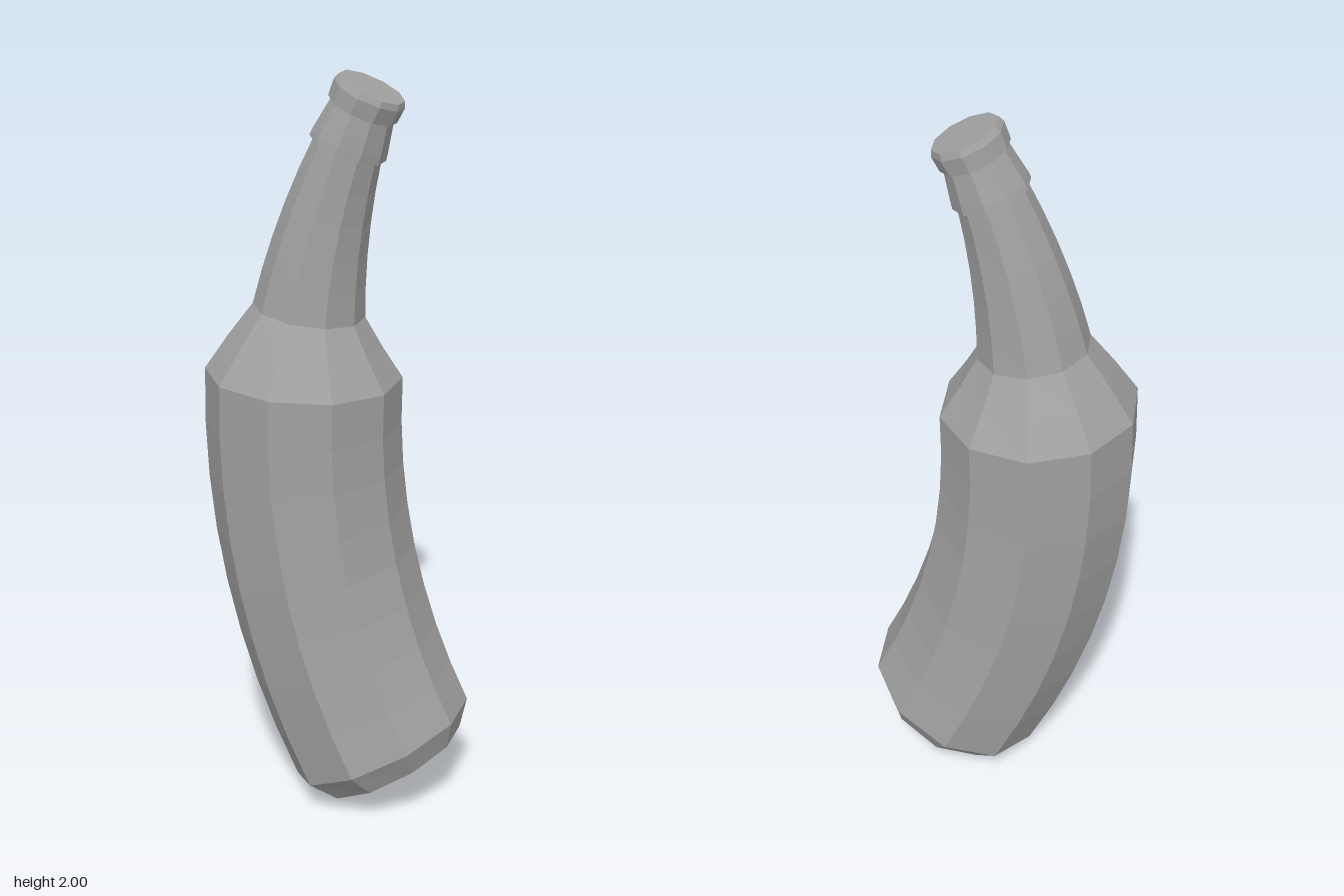
import * as THREE from 'three';

const SIDES = 10;
const BEND_RADIUS = 2.05;
const BEND_ANGLE = THREE.MathUtils.degToRad(19); // heading of the bend, from +x towards +z
const ORIGIN = new THREE.Vector3(-0.098, 1.105, -0.04); // middle of the bent axis

// Wraps a straight upright geometry around a circular arc
function bend(geometry) {
  const c = Math.cos(BEND_ANGLE), s = Math.sin(BEND_ANGLE);
  const p = geometry.attributes.position;
  for (let i = 0; i < p.count; i++) {
    const x = p.getX(i), z = p.getZ(i);
    const across = x * c + z * s, side = z * c - x * s;
    const theta = p.getY(i) / BEND_RADIUS, r = BEND_RADIUS - across;
    const u = BEND_RADIUS - r * Math.cos(theta);
    p.setXYZ(i,
      ORIGIN.x + u * c - side * s,
      ORIGIN.y + r * Math.sin(theta),
      ORIGIN.z + u * s + side * c);
  }
  return geometry;
}

// Adds evenly spaced rings between two [radius, height] points so they can bend
function taper(from, to, steps) {
  return Array.from({ length: steps + 1 }, (_, i) => {
    const t = i / steps;
    return [from[0] + (to[0] - from[0]) * t, from[1] + (to[1] - from[1]) * t];
  });
}

// Turns a [radius, height along the axis] profile into a faceted, bent part
function part(name, profile, material) {
  const points = profile.map(([r, h]) => new THREE.Vector2(r, h));
  const lathe = new THREE.LatheGeometry(points, SIDES, Math.PI / 2);
  const geometry = bend(lathe).toNonIndexed();
  geometry.computeVertexNormals();
  const mesh = new THREE.Mesh(geometry, material);
  mesh.name = name;
  return mesh;
}

export function createModel() {
  const group = new THREE.Group();
  group.name = 'bentBottle';
  const grey = new THREE.MeshStandardMaterial({ color: 0xa0a0a0 });
  grey.name = 'grey';

  group.add(
    // Closed base with a chamfered rim, long body
    part('body', [[0, -1.05], [0.208, -1.05], ...taper([0.262, -0.979], [0.262, 0.1], 8)], grey),
    // Sloping shoulder
    part('shoulder', taper([0.262, 0.1], [0.148, 0.274], 2), grey),
    // Tapering neck
    part('neck', taper([0.148, 0.274], [0.09, 0.722], 5), grey),
    // Collar below the cap
    part('collar', [[0.085, 0.715], [0.102, 0.72], [0.1, 0.738], [0.084, 0.827]], grey),
    // Bottle cap with a small bevel
    part('cap', [[0.08, 0.825], [0.093, 0.827], [0.096, 0.871], [0.089, 0.887], [0, 0.887]], grey),
  );
  return group;
}
